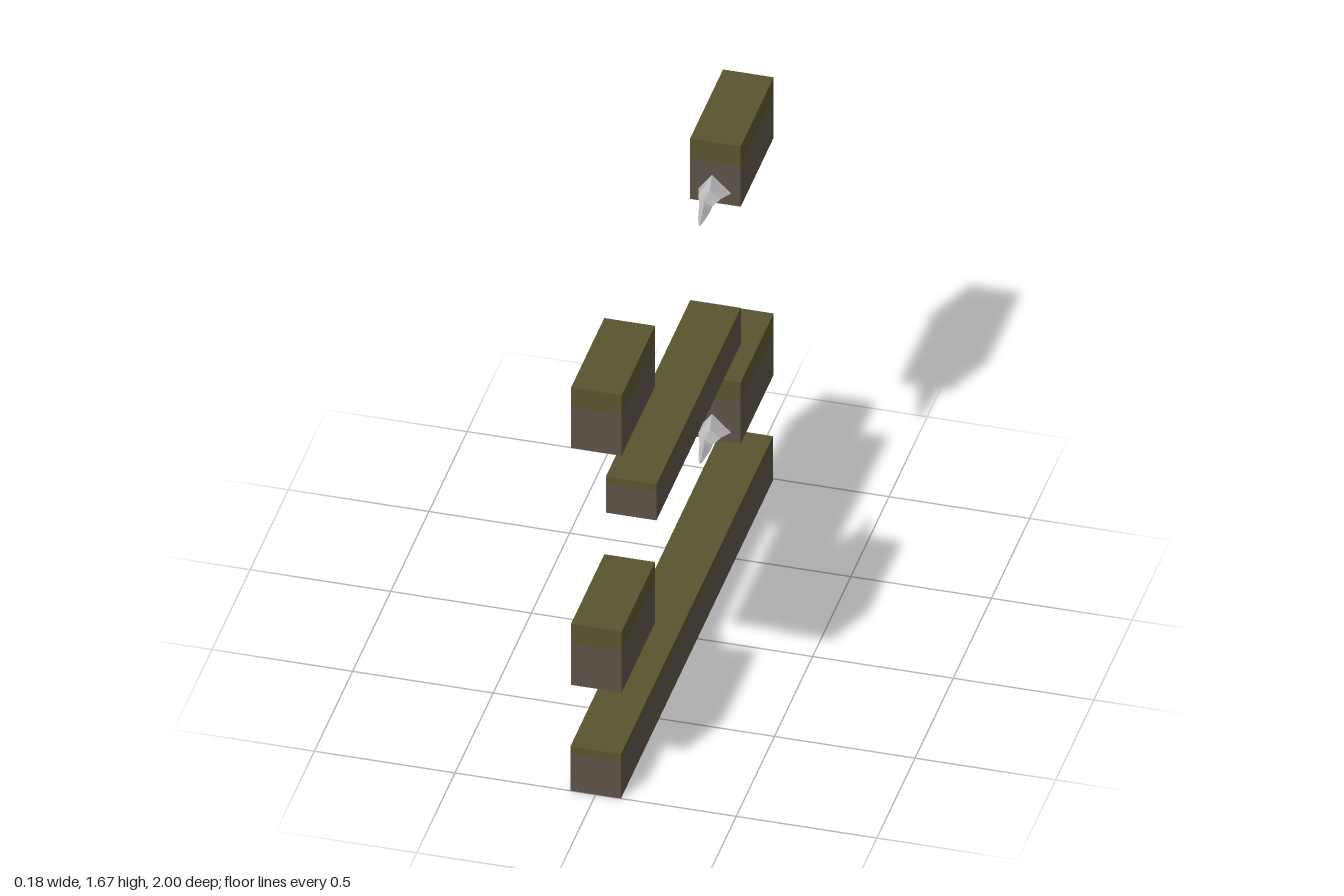
import * as THREE from 'three';

const mat = (name, color, extra = {}) => Object.assign(new THREE.MeshStandardMaterial({ color, ...extra }), { name });

// Beam with a mossy upper band over a stone body
function beam(name, y0, y1, z0, z1, band, moss, stone) {
  const group = new THREE.Group();
  group.name = name;
  const slab = (part, a, b, material) => {
    const mesh = new THREE.Mesh(new THREE.BoxGeometry(0.18, b - a, z1 - z0), material);
    mesh.position.set(0, (a + b) / 2, (z0 + z1) / 2);
    mesh.name = part;
    group.add(mesh);
  };
  slab('stoneBody', y0, y1 - band, stone);
  slab('mossTop', y1 - band, y1, moss);
  return group;
}

// Cross-sections of a spike: distance, left x, right x, ridge x, bottom y, side y, top y
const SECTIONS = [
  [0, -0.06, 0.056, -0.012, -0.05, -0.02, 0.046],
  [0.07, -0.042, 0.038, -0.002, -0.037, 0.0, 0.027],
  [0.125, -0.024, 0.024, -0.008, -0.024, 0.004, 0.018],
  [0.155, -0.017, 0.022, 0.002, -0.022, -0.002, 0.025],
  [0.215, -0.004, 0.018, 0.008, -0.015, 0.001, 0.013],
  [0.247, 0.009, 0.009, 0.009, 0, 0, 0],
];

// Faceted blade-like spike pointing along dir on z
function spike(name, y, z, dir, length, material) {
  const rings = SECTIONS.map(([d, l, r, m, b, s, t]) =>
    [[m, t], [r, s], [m, b], [l, s]].map(([px, py]) => [px, py, dir * d * length / 0.247]));
  const pos = [];
  const tri = (a, b, c) => pos.push(...a, ...(dir > 0 ? [...c, ...b] : [...b, ...c]));
  for (let i = 0; i < rings.length - 1; i++) {
    for (let j = 0; j < 4; j++) {
      const k = (j + 1) % 4;
      tri(rings[i][j], rings[i + 1][j], rings[i][k]);
      if (i < rings.length - 2) tri(rings[i][k], rings[i + 1][j], rings[i + 1][k]);
    }
  }
  const geo = new THREE.BufferGeometry();
  geo.setAttribute('position', new THREE.Float32BufferAttribute(pos, 3));
  geo.computeVertexNormals();
  const mesh = new THREE.Mesh(geo, material);
  mesh.position.set(0, y, z);
  mesh.name = name;
  return mesh;
}

export function createModel() {
  const model = new THREE.Group();
  model.name = 'spikeTrap';
  const moss = mat('moss', 0x59542f);
  const stone = mat('stone', 0x5c5348);
  const metal = mat('metal', 0xbcbcbc, { side: THREE.DoubleSide });

  // Floor beam and floating middle beam
  model.add(beam('floorBeam', 0, 0.185, -0.99, 1, 0.03, moss, stone));
  model.add(beam('middleBeam', 0.85, 1.0, -0.57, 0.535, 0.03, moss, stone));

  // Two tiers of facing blocks, each with a spike on its inner end
  const tiers = [
    ['lower', 0.435, 0.69, 0.495, 0.225, 0.24],
    ['upper', 1.423, 1.675, 1.492, 0.25, 0.247],
  ];
  for (const [tier, y0, y1, ySpike, frontLength, backLength] of tiers) {
    model.add(beam(tier + 'FrontBlock', y0, y1, 0.555, 0.99, 0.082, moss, stone));
    model.add(beam(tier + 'BackBlock', y0, y1, -1, -0.568, 0.082, moss, stone));
    model.add(spike(tier + 'FrontSpike', ySpike, 0.555, -1, frontLength, metal));
    model.add(spike(tier + 'BackSpike', ySpike, -0.568, 1, backLength, metal));
  }
  return model;
}
